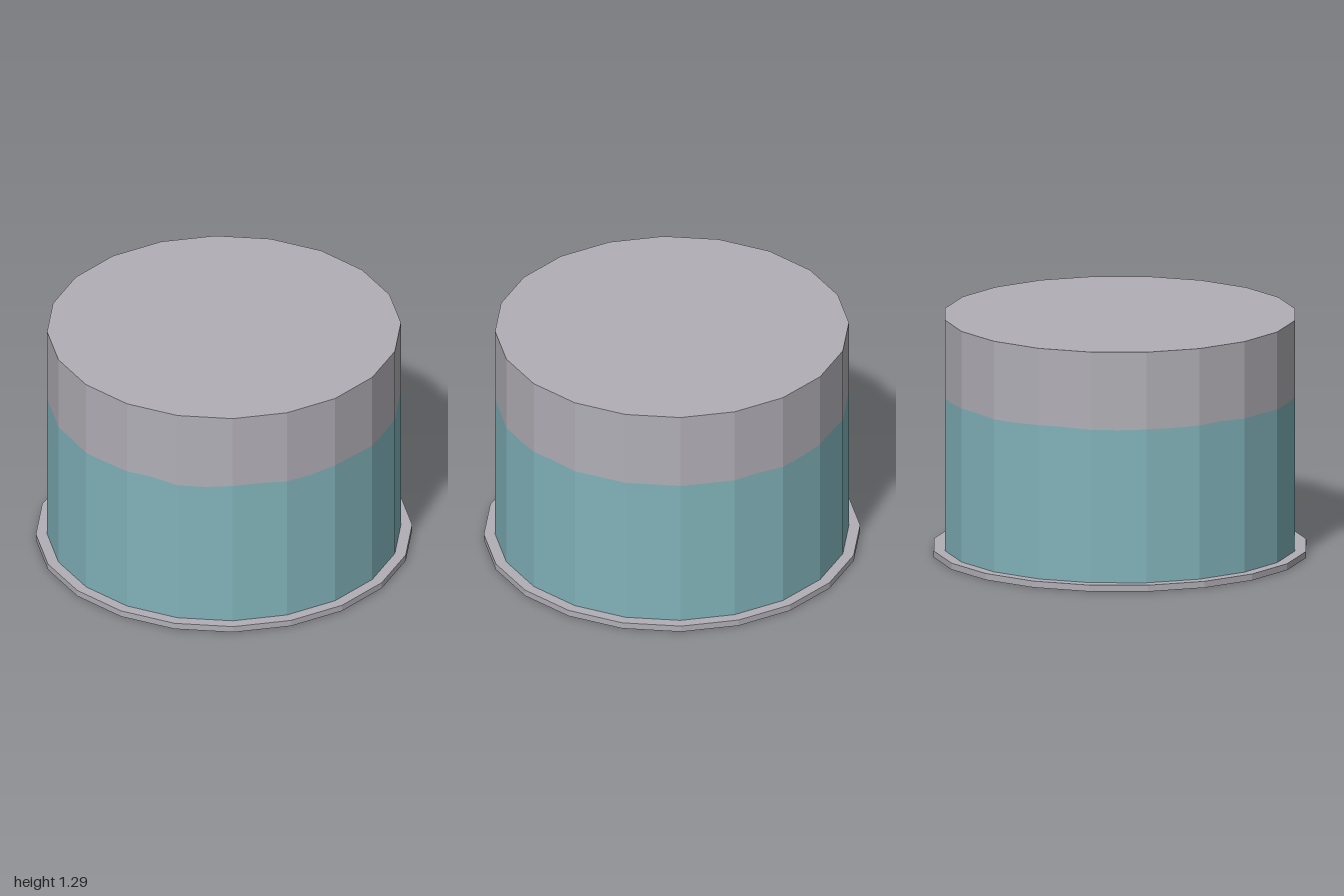
import * as THREE from 'three';

const SIDES = 20;
const TURN = THREE.MathUtils.degToRad(12.4); // where the first corner sits
const BODY_R = 0.945, RIM_R = 1.005, RIM_H = 0.035, TOP = 1.295;

// Height of the colour boundary, two samples per side, starting near +x and going towards +z
const WAVE = [
  0.872, 0.866, 0.868, 0.874, 0.878, 0.865, 0.867, 0.875, 0.875, 0.86,
  0.86, 0.875, 0.875, 0.87, 0.87, 0.875, 0.875, 0.88, 0.875, 0.87,
  0.872, 0.868, 0.87, 0.875, 0.876, 0.868, 0.868, 0.874, 0.874, 0.865,
  0.866, 0.872, 0.87, 0.87, 0.87, 0.87, 0.87, 0.87, 0.87, 0.875,
];

// Faceted surface of revolution
function turned(profile) {
  const points = profile.map(([r, y]) => new THREE.Vector2(r, y));
  const geometry = new THREE.LatheGeometry(points, SIDES, TURN).toNonIndexed();
  geometry.computeVertexNormals();
  return geometry;
}

// Faceted wall between two height functions, each side split in half
function wall(low, high) {
  const n = SIDES * 2;
  const corner = (k) => {
    const a = Math.PI / 2 - TURN - Math.PI * 2 / SIDES * (4 - k);
    return new THREE.Vector3(Math.cos(a), 0, Math.sin(a)).multiplyScalar(BODY_R);
  };
  const point = (i, height) => {
    const k = Math.floor(i / 2);
    const p = corner(k).lerp(corner(k + 1), (i % 2) / 2);
    return p.setY(height(i % n));
  };
  const corners = [];
  for (let i = 0; i < n; i++) {
    const bl = point(i + 1, low), br = point(i, low);
    const tl = point(i + 1, high), tr = point(i, high);
    corners.push(bl, br, tr, bl, tr, tl);
  }
  const geometry = new THREE.BufferGeometry().setFromPoints(corners);
  geometry.computeVertexNormals();
  return geometry;
}

export function createModel() {
  const grey = new THREE.MeshStandardMaterial({ color: 0xb1afb6 });
  grey.name = 'warm grey';
  const teal = new THREE.MeshStandardMaterial({ color: 0x81b3ba });
  teal.name = 'soft teal';

  const group = new THREE.Group();
  group.name = 'drum';
  const add = (name, geometry, material) => {
    const mesh = new THREE.Mesh(geometry, material);
    mesh.name = name;
    group.add(mesh);
  };

  // Body: teal below the uneven line, grey above it
  const wave = (i) => WAVE[i];
  add('lowerWall', wall(() => RIM_H, wave), teal);
  add('upperWall', wall(wave, () => TOP), grey);
  add('lid', turned([[BODY_R, TOP], [0, TOP]]), grey);
  add('underside', turned([[0, 0], [BODY_R, 0]]), teal);

  // Thin flange around the foot
  add('footFlange', turned([[BODY_R, 0], [RIM_R, 0], [RIM_R, RIM_H], [BODY_R, RIM_H]]), grey);

  return group;
}
